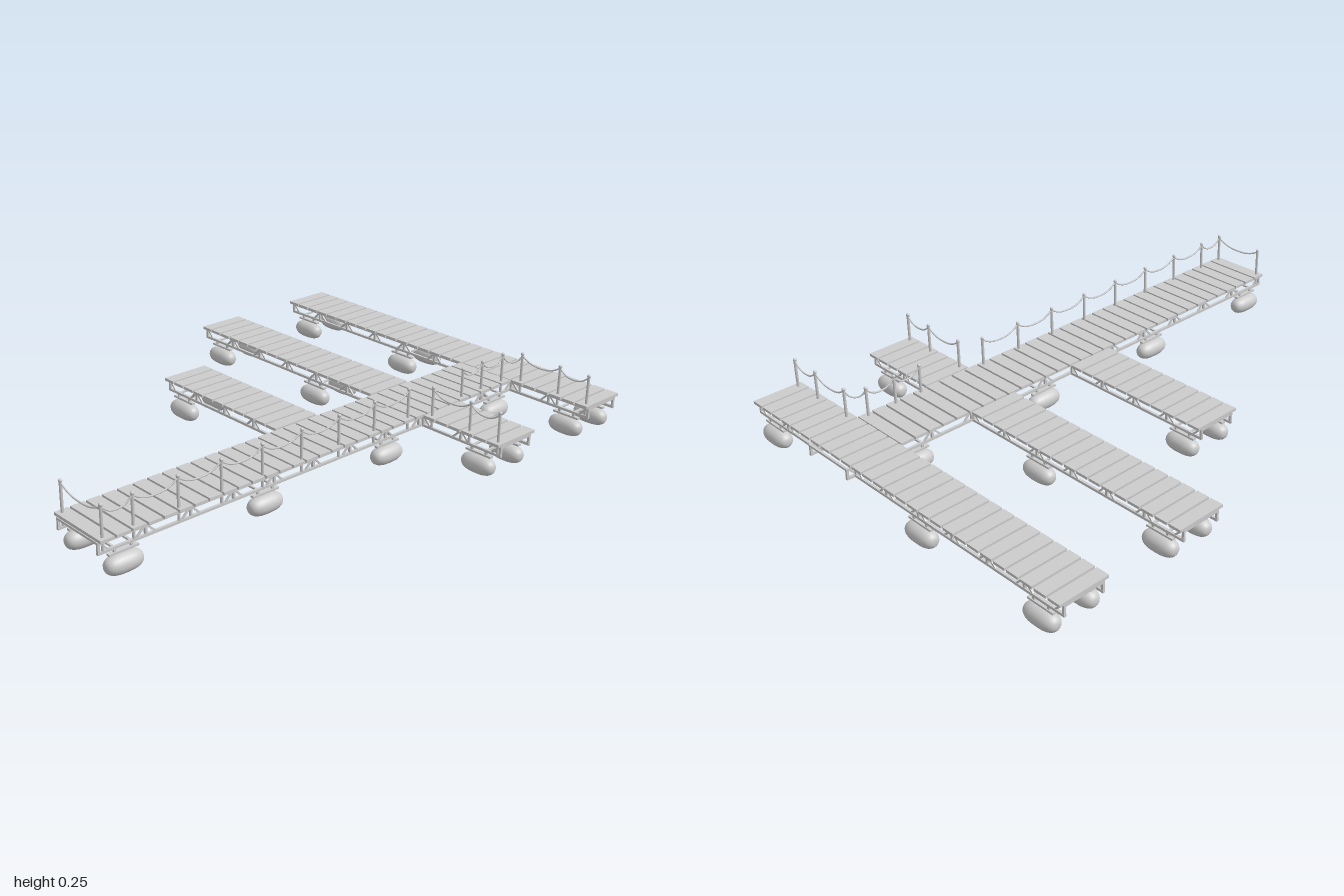
import * as THREE from 'three';

const mat = new THREE.MeshStandardMaterial({ color: 0xcccccc, roughness: 0.8 });
const CHORD = 0.009;          // square section of the frame bars
const TOP = 0.122, LOW = 0.09; // heights of the upper and lower bars

function add(parent, name, geometry, x = 0, y = 0, z = 0) {
  const m = new THREE.Mesh(geometry, mat);
  m.name = name;
  m.position.set(x, y, z);
  parent.add(m);
  return m;
}

const box = (parent, name, w, h, d, x, y, z) =>
  add(parent, name, new THREE.BoxGeometry(w, h, d), x, y, z);

// Square bar between two points in a vertical plane running along x
function brace(parent, x1, y1, x2, y2, z) {
  const bar = box(parent, 'brace', Math.hypot(x2 - x1, y2 - y1), 0.006, 0.006,
    (x1 + x2) / 2, (y1 + y2) / 2, z);
  bar.rotation.z = Math.atan2(y2 - y1, x2 - x1);
}

// Evenly spaced planks laid across x
function planks(parent, x1, x2, width) {
  const n = Math.round((x2 - x1) / 0.0555), pitch = (x2 - x1) / n;
  for (let i = 0; i < n; i++)
    box(parent, 'plank', pitch - 0.008, 0.01, width, x1 + (i + 0.5) * pitch, 0.132, 0);
}

// Two side trusses with uprights and paired knee braces
function truss(parent, x1, x2, half) {
  const a = x1 + 0.006, b = x2 - 0.006;
  const bays = Math.max(1, Math.round((b - a) / 0.163));
  for (const z of [-half, half]) {
    for (const y of [TOP, LOW])
      box(parent, 'sideBar', b - a + CHORD, CHORD, CHORD, (a + b) / 2, y, z);
    for (let i = 0; i <= bays; i++) {
      const x = a + (b - a) * i / bays;
      box(parent, 'upright', 0.008, TOP - LOW, 0.008, x, (TOP + LOW) / 2, z);
      if (i > 0) brace(parent, x - 0.036, LOW, x - 0.004, TOP, z);
      if (i < bays) brace(parent, x + 0.036, LOW, x + 0.004, TOP, z);
    }
  }
  for (let i = 0; i <= bays; i++)
    box(parent, 'crossBar', 0.008, 0.008, 2 * half, a + (b - a) * i / bays, TOP, 0);
}

// Rounded drum lying along x, from a superellipse profile
const drumProfile = [];
for (let i = 0; i <= 20; i++) {
  const t = Math.PI * i / 20, c = Math.cos(t);
  drumProfile.push(new THREE.Vector2(
    0.033 * Math.pow(Math.max(0, Math.sin(t)), 0.75),
    -0.065 * Math.sign(c) * Math.pow(Math.abs(c), 0.75)));
}
const drumGeometry = new THREE.LatheGeometry(drumProfile, 24).rotateZ(Math.PI / 2);

// A pair of floats with saddles and hangers
function floats(parent, x, half) {
  for (const s of [-1, 1]) {
    const g = new THREE.Group();
    g.name = 'float';
    g.position.set(x, 0, s * half);
    parent.add(g);
    add(g, 'drum', drumGeometry, 0, 0.033, 0);
    box(g, 'saddle', 0.105, 0.007, 0.014, 0, 0.073, 0);
    for (const dx of [-0.03, 0.03]) {
      box(g, 'hanger', 0.008, 0.022, 0.008, dx, 0.08, 0);
      box(g, 'bracket', 0.008, 0.006, 0.05, dx, LOW, -s * 0.022);
    }
  }
}

function pier(parent, name, { decks, trusses, stations, width, half }) {
  const g = new THREE.Group();
  g.name = name;
  parent.add(g);
  for (const [a, b] of decks) planks(g, a, b, width);
  for (const [a, b] of trusses) truss(g, a, b, half);
  for (const x of stations) floats(g, x, half);
  return g;
}

// Posts at [x, z] points, joined by sagging ropes
function railing(parent, name, points) {
  const g = new THREE.Group();
  g.name = name;
  parent.add(g);
  points.forEach(([x, z], i) => {
    add(g, 'post', new THREE.CylinderGeometry(0.005, 0.005, 0.152, 10), x, 0.162, z);
    add(g, 'postCap', new THREE.SphereGeometry(0.0065, 10, 8), x, 0.239, z);
    if (i === 0) return;
    const [px, pz] = points[i - 1], curve = [];
    for (let k = 0; k <= 12; k++) {
      const t = k / 12, u = Math.abs(2 * t - 1);
      curve.push(new THREE.Vector3(px + (x - px) * t,
        0.207 + 0.027 * Math.pow(u, 2.5), pz + (z - pz) * t));
    }
    add(g, 'rope', new THREE.TubeGeometry(new THREE.CatmullRomCurve3(curve), 20, 0.003, 6));
  });
}

export function createModel() {
  const model = new THREE.Group();
  model.name = 'floatingDock';

  // Main walkway, running front to back
  const main = pier(model, 'mainWalkway', {
    decks: [[-0.8, 1]], trusses: [[-1, 1]],
    stations: [0.91, 0.37, -0.175, -0.735], width: 0.235, half: 0.1,
  });
  main.rotation.y = -Math.PI / 2;
  main.position.x = 0.305;

  // Side fingers
  const side = { width: 0.185, half: 0.0725 };
  pier(model, 'backFinger', { ...side,
    decks: [[-0.76, 0.757]], trusses: [[-0.757, 0.205], [0.405, 0.753]],
    stations: [-0.66, -0.125, 0.66] }).position.z = -0.8925;
  pier(model, 'middleFinger', { ...side,
    decks: [[-0.76, 0.183], [0.425, 0.757]], trusses: [[-0.757, 0.205], [0.405, 0.753]],
    stations: [-0.66, -0.125, 0.66] }).position.z = -0.42;
  pier(model, 'shortFinger', { ...side,
    decks: [[-0.425, 0.183]], trusses: [[-0.422, 0.205]],
    stations: [-0.335] }).position.z = 0.03;

  // Rope railings
  const long = [[0.205, 0.978], [0.405, 0.978]];
  for (let i = 0; i < 8; i++) long.push([0.405, 0.87 - i * 0.1635]);
  railing(model, 'walkwayRailing', long);
  railing(model, 'cornerRailing', [[0.405, -0.55], [0.405, -0.655], [0.405, -0.767],
    [0.45, -0.822], [0.615, -0.822], [0.735, -0.822]]);
  railing(model, 'middleRailing', [[0.45, -0.347], [0.615, -0.347], [0.735, -0.347]]);

  return model;
}
